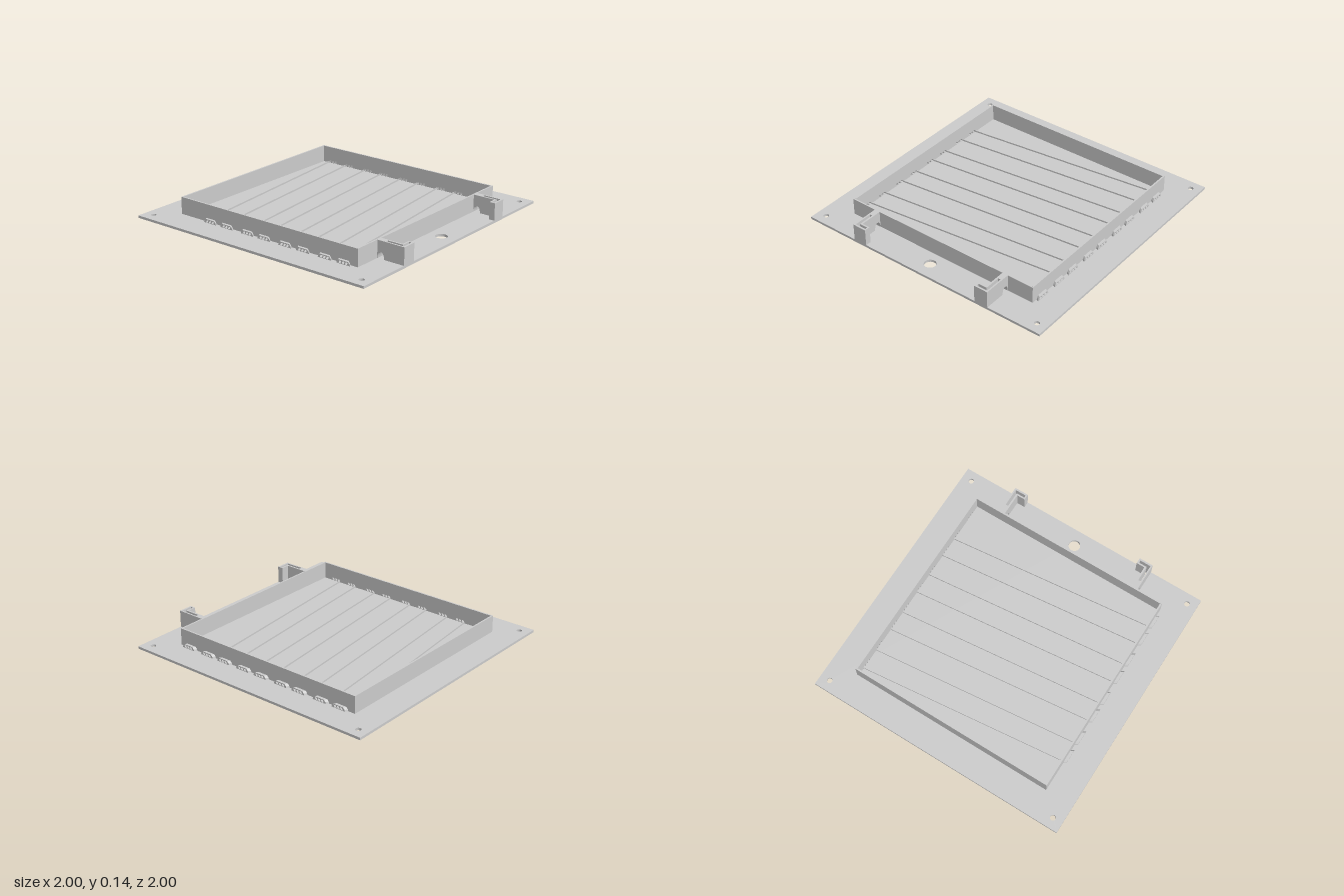
import * as THREE from 'three';

const BASE = 0.018, TOP = 0.145, WALL = 0.785, T = 0.012;
const mat = new THREE.MeshStandardMaterial({ color: 0xcccccc, flatShading: true, side: THREE.DoubleSide });

const poly = (pts, Type = THREE.Shape) => new Type(pts.map(([a, b]) => new THREE.Vector2(a, b)));
const circle = (x, z, r) => new THREE.Path().absarc(x, z, r, 0, Math.PI * 2, false);

// Plan outline in (x, z), extruded down from the given height
function slab(shape, top, depth) {
  const g = new THREE.ExtrudeGeometry(shape, { depth, bevelEnabled: false, curveSegments: 16 });
  return g.rotateX(Math.PI / 2).translate(0, top, 0);
}

// Side outline in (z, y), extruded from x1 towards -x, optionally skewed in z
function sideways(shape, x1, depth, skew = 0, origin = 0) {
  const g = new THREE.ExtrudeGeometry(shape, { depth, bevelEnabled: false, curveSegments: 12 });
  g.rotateY(-Math.PI / 2).translate(x1, 0, 0);
  const p = g.attributes.position;
  for (let i = 0; i < p.count; i++) p.setZ(i, p.getZ(i) + skew * (p.getX(i) - origin));
  g.computeVertexNormals();
  return g;
}

// Three slanted wire openings around z = c
function wireHoles(c) {
  return [-0.026, 0, 0.026].map((d) => poly([
    [c + d - 0.012, 0.021], [c + d + 0.005, 0.021], [c + d + 0.012, 0.038], [c + d - 0.005, 0.038],
  ], THREE.Path));
}

// L-shaped plan of a bracket (s = side) and of its slot
const bracketPlan = (s) => [[0.582, 0.842], [0.582, 1], [0.475, 1], [0.475, 0.955], [0.538, 0.955], [0.538, 0.842]]
  .map(([x, z]) => [x * s, z]);
const slotPlan = (s) => [[0.571, 0.847], [0.571, 0.986], [0.486, 0.986], [0.486, 0.967], [0.551, 0.967], [0.551, 0.847]]
  .map(([x, z]) => [x * s, z]);

const rightRow = [-0.675, -0.515, -0.33, -0.175, 0.01, 0.17, 0.35, 0.505, 0.685];
const leftRow = [-0.505, -0.35, -0.16, -0.01, 0.175, 0.33, 0.515, 0.67];

export function createModel() {
  const root = new THREE.Group();
  const add = (name, geometry) => {
    const m = new THREE.Mesh(geometry, mat);
    m.name = name;
    root.add(m);
    return m;
  };

  // Base plate with screw holes, cable hole and bracket slots
  const plate = poly([[-1, -1], [1, -1], [1, 1], [-1, 1]]);
  for (const x of [-0.925, 0.925]) for (const z of [-0.925, 0.925]) plate.holes.push(circle(x, z, 0.02));
  plate.holes.push(circle(0, 0.885, 0.043));
  for (const s of [-1, 1]) plate.holes.push(poly(slotPlan(s), THREE.Path));
  add('basePlate', slab(plate, BASE, BASE));

  // Front and back frame walls
  for (const s of [-1, 1]) {
    const wall = new THREE.BoxGeometry(WALL * 2, TOP - BASE, T);
    wall.translate(0, (TOP + BASE) / 2, s * (WALL - T / 2));
    add(s > 0 ? 'frontWall' : 'backWall', wall);
  }

  for (const s of [-1, 1]) {
    const side = s > 0 ? 'left' : 'right';
    const row = s > 0 ? rightRow : leftRow;
    const skew = 0.6 * s;

    // Side frame wall pierced by the wire openings
    const e = WALL - T * 0.7;
    const wall = poly([[-e, BASE], [e, BASE], [e, TOP], [-e, TOP]]);
    for (const c of row) wall.holes.push(...wireHoles(c));
    add(side + 'Wall', sideways(wall, s > 0 ? WALL : -WALL + T, T, skew, s * WALL));

    // Small wire guides along the outside of the wall
    for (const c of row) {
      const guide = poly([[c - 0.056, BASE], [c + 0.056, BASE], [c + 0.052, 0.03], [c + 0.04, 0.044],
        [c - 0.04, 0.044], [c - 0.052, 0.03]]);
      guide.holes.push(...wireHoles(c));
      add(side + 'WireGuide', sideways(guide, s > 0 ? 0.805 : -WALL, 0.02, skew, s * WALL));
    }

    // Hollow corner bracket at the front edge
    const bracket = poly(bracketPlan(s));
    bracket.holes.push(poly(slotPlan(s), THREE.Path));
    add(side + 'Bracket', slab(bracket, TOP, TOP - BASE));

    // Web joining bracket and frame, with an arched cable opening
    const web = new THREE.Shape();
    web.moveTo(WALL - 0.002, TOP);
    web.lineTo(0.842, TOP);
    web.lineTo(0.842, BASE);
    web.lineTo(0.84, BASE);
    web.bezierCurveTo(0.84, 0.05, 0.828, 0.067, 0.813, 0.067);
    web.bezierCurveTo(0.798, 0.067, 0.786, 0.05, 0.786, BASE);
    web.lineTo(WALL - 0.002, BASE);
    web.closePath();
    add(side + 'BracketWeb', sideways(web, s > 0 ? 0.582 : -0.538, 0.044));
  }

  // Thin slanted floor ribs running between opposite wire guides
  const inner = WALL - T;
  leftRow.forEach((zl, i) => {
    const a = zl - 0.045, b = rightRow[i] - 0.045, w = 0.002;
    const rib = poly([[-inner, a - w], [inner, b - w], [inner, b + w], [-inner, a + w]]);
    add('floorRib', slab(rib, BASE + 0.012, 0.012));
  });

  return root;
}
